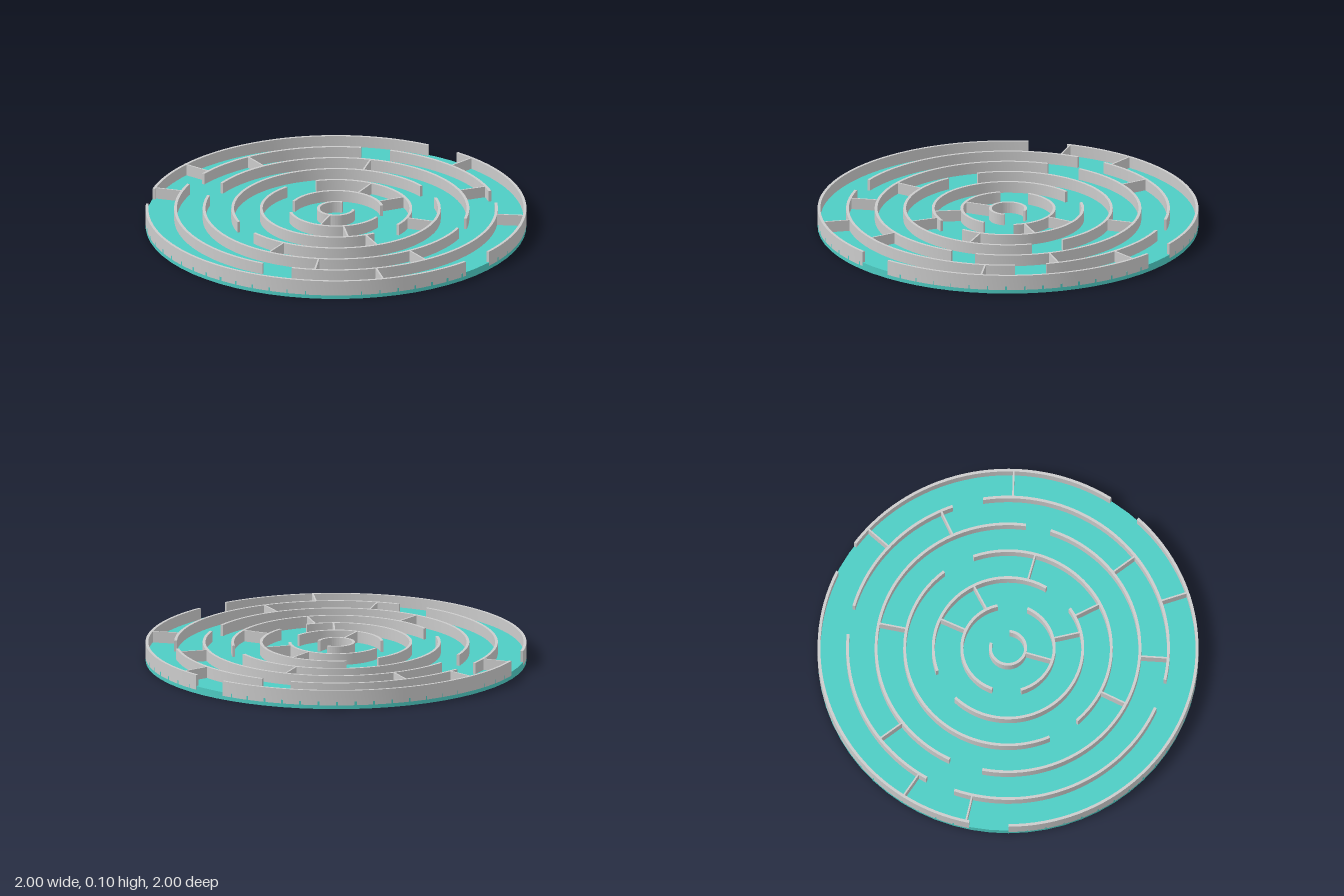
import * as THREE from 'three';
import { toCreasedNormals } from 'three/addons/utils/BufferGeometryUtils.js';

const WALL = 0.015, TOP = 0.1, BOTTOM = 0.02;
const rad = THREE.MathUtils.degToRad;
const ringRadius = (i) => 0.0925 + 0.15 * i;

// Arcs of each ring, inside out: [start, end] in degrees from +x towards +z
const RINGS = [
  [[-40, 243]],
  [[155, 302], [-20, 119]],
  [[206, 346], [11, 180]],
  [[111.5, 277], [-64.4, 93.4]],
  [[161.4, 323], [-26, 146.4]],
  [[241.3, 295], [-53.8, 57.4], [68.5, 154.7], [165.6, 230.4]],
  [[261.3, 348], [-1.5, 135], [147, 250.7]],
];

// Angles of the straight walls between ring i and ring i + 1
const SPOKES = [
  [61.4],
  [249.7, 287.8, 32.2],
  [-29.5, 18],
  [236.6, 71.8],
  [-69.5, 188.2, 7.6, 49],
  [267.3, -43.1, 168.8, 148, 27],
];

function arcWall(radius, start, end, material) {
  const a = rad(start), b = rad(end);
  const shape = new THREE.Shape();
  shape.absarc(0, 0, radius + WALL / 2, a, b, false);
  shape.absarc(0, 0, radius - WALL / 2, b, a, true);
  shape.closePath();
  const geometry = new THREE.ExtrudeGeometry(shape, {
    depth: TOP - BOTTOM,
    bevelEnabled: false,
    curveSegments: Math.ceil((end - start) / 5.6),
  });
  geometry.rotateX(Math.PI / 2).translate(0, TOP, 0);
  return new THREE.Mesh(toCreasedNormals(geometry, rad(30)), material);
}

export function createModel() {
  const group = new THREE.Group();
  group.name = 'circularMaze';
  const grey = new THREE.MeshStandardMaterial({ color: 0xcccccc });
  const teal = new THREE.MeshStandardMaterial({ color: 0x4ecdc4 });

  // Floor disc
  const base = new THREE.Mesh(new THREE.CylinderGeometry(1, 1, 0.04, 64), teal);
  base.name = 'base';
  base.position.y = 0.02;
  group.add(base);

  // Curved ring walls with gaps
  RINGS.forEach((arcs, i) => {
    const ring = new THREE.Group();
    ring.name = `ringWall${i + 1}`;
    arcs.forEach(([start, end], j) => {
      const wall = arcWall(ringRadius(i), start, end, grey);
      wall.name = `arcWall${i + 1}_${j + 1}`;
      ring.add(wall);
    });
    group.add(ring);
  });

  // Straight radial walls
  const spokeGeometry = new THREE.BoxGeometry(0.138, TOP - BOTTOM, 0.009);
  SPOKES.forEach((angles, i) => {
    const r = ringRadius(i + 0.5);
    angles.forEach((angle, j) => {
      const spoke = new THREE.Mesh(spokeGeometry, grey);
      spoke.name = `radialWall${i + 1}_${j + 1}`;
      const a = rad(angle);
      spoke.position.set(r * Math.cos(a), (TOP + BOTTOM) / 2, r * Math.sin(a));
      spoke.rotation.y = -a;
      group.add(spoke);
    });
  });

  return group;
}
